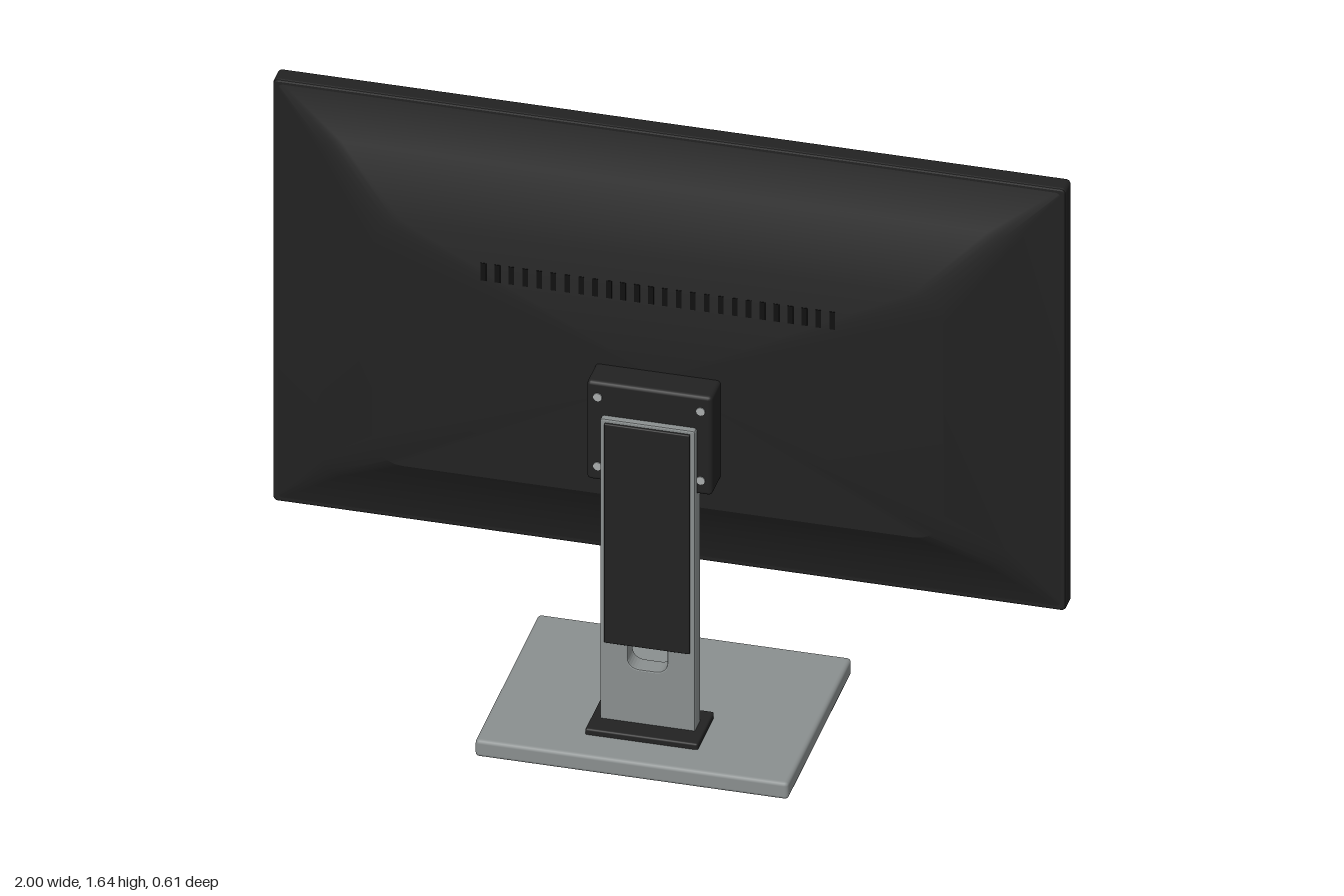
import * as THREE from 'three';
import { toCreasedNormals } from 'three/addons/utils/BufferGeometryUtils.js';
import { RoundedBoxGeometry } from 'three/addons/geometries/RoundedBoxGeometry.js';

const flat = (name, color) => {
  const m = new THREE.MeshStandardMaterial({ color });
  m.name = name;
  return m;
};

// Rounded rectangle as counter-clockwise points
function roundedRect(x0, x1, y0, y1, r, steps = 6) {
  const pts = [];
  const corners = [[x1 - r, y0 + r, -1], [x1 - r, y1 - r, 0], [x0 + r, y1 - r, 1], [x0 + r, y0 + r, 2]];
  for (const [cx, cy, q] of corners) {
    for (let i = 0; i <= steps; i++) {
      const a = (q + i / steps) * Math.PI / 2;
      pts.push(new THREE.Vector2(cx + r * Math.cos(a), cy + r * Math.sin(a)));
    }
  }
  return pts;
}

// Skin through rounded rectangles stacked along +z, closed at the last one
function loft(sections) {
  const pos = [], idx = [];
  const rings = sections.map(s => roundedRect(-s.x, s.x, s.y0, s.y1, s.r));
  const n = rings[0].length;
  rings.forEach((ring, k) => ring.forEach(p => pos.push(p.x, p.y, sections[k].z)));
  for (let k = 0; k < rings.length - 1; k++) {
    for (let i = 0; i < n; i++) {
      const a = k * n + i, b = k * n + (i + 1) % n;
      idx.push(a, b, b + n, a, b + n, a + n);
    }
  }
  const last = sections[sections.length - 1], base = (rings.length - 1) * n;
  pos.push(0, (last.y0 + last.y1) / 2, last.z);
  for (let i = 0; i < n; i++) idx.push(base + i, base + (i + 1) % n, rings.length * n);
  const g = new THREE.BufferGeometry();
  g.setAttribute('position', new THREE.Float32BufferAttribute(pos, 3));
  g.setIndex(idx);
  return toCreasedNormals(g, 0.4);
}

// Bevelled plate with a hole, spanning z0 to z1
function plate(outer, hole, z0, z1, bevel) {
  const shape = new THREE.Shape(outer);
  shape.holes.push(new THREE.Path(hole));
  const g = new THREE.ExtrudeGeometry(shape, {
    depth: z1 - z0 - 2 * bevel, bevelEnabled: true, bevelThickness: bevel,
    bevelSize: bevel, bevelOffset: -bevel, bevelSegments: 2,
  });
  return g.translate(0, 0, z0 + bevel);
}

export function createModel() {
  const black = flat('black plastic', 0x222222);
  const screenBlack = flat('screen black', 0x1e1e1e);
  const dark = flat('dark recess', 0x101010);
  const grey = flat('grey metal', 0x8a8f8f);
  const silver = flat('screw silver', 0xa8acac);

  const model = new THREE.Group();
  model.name = 'monitor';
  const add = (name, geometry, material, parent = model) => {
    const m = new THREE.Mesh(geometry, material);
    m.name = name;
    parent.add(m);
    return m;
  };
  const group = name => {
    const g = new THREE.Group();
    g.name = name;
    model.add(g);
    return g;
  };
  // Box given by its extents, optionally rounded
  const box = (x0, x1, y0, y1, z0, z1, r = 0) => {
    const s = [x1 - x0, y1 - y0, z1 - z0];
    const g = r ? new RoundedBoxGeometry(...s, 2, r) : new THREE.BoxGeometry(...s);
    return g.translate((x0 + x1) / 2, (y0 + y1) / 2, (z0 + z1) / 2);
  };

  // Display: bezel, panel and sloped back shell
  const display = group('display');
  add('bezel', plate(roundedRect(-1, 1, 0.435, 1.645, 0.012), roundedRect(-0.96, 0.96, 0.5, 1.6, 0.003, 1),
    -0.11, -0.057, 0.006), black, display);
  add('screen', box(-0.965, 0.965, 0.495, 1.605, -0.106, -0.07), screenBlack, display);
  add('backShell', loft([
    { x: 0.993, y0: 0.442, y1: 1.638, r: 0.012, z: -0.059 },
    { x: 0.865, y0: 0.56, y1: 1.52, r: 0.05, z: -0.015 },
    { x: 0.72, y0: 0.655, y1: 1.357, r: 0.075, z: 0.05 },
  ]), black, display);

  // Row of vent slots on the back
  const vents = group('vents');
  for (let i = 0; i < 26; i++) {
    const x = -0.44 + i * 0.0352;
    add('ventSlot', box(x - 0.007, x + 0.007, 1.22, 1.27, 0.047, 0.0515), dark, vents);
  }

  // Buttons under the bezel and the power light
  const controls = group('controls');
  for (const x of [-0.86, -0.797, -0.733, -0.668]) {
    add('button', box(x - 0.014, x + 0.014, 0.428, 0.44, -0.095, -0.075, 0.003), black, controls);
  }
  add('powerLight', box(-0.935, -0.925, 0.464, 0.47, -0.113, -0.108), dark, controls);

  // Mounting block with four screws
  const mount = group('mount');
  add('mountBlock', box(-0.158, 0.158, 0.745, 1.027, 0.04, 0.133, 0.01), black, mount);
  for (const x of [-0.13, 0.13]) {
    for (const y of [0.787, 0.985]) {
      const g = new THREE.CylinderGeometry(0.011, 0.011, 0.006, 16).rotateX(Math.PI / 2);
      add('mountScrew', g.translate(x, y, 0.133), silver, mount);
    }
  }

  // Stand: column with a cable slot, cover plate and collar
  const stand = group('stand');
  add('column', plate(roundedRect(-0.12, 0.12, 0.06, 0.935, 0.006, 2), roundedRect(-0.05, 0.05, 0.23, 0.4, 0.028),
    0.098, 0.15, 0.004), grey, stand);
  add('columnCover', box(-0.108, 0.108, 0.297, 0.925, 0.147, 0.157, 0.003), black, stand);
  add('collar', box(-0.142, 0.142, 0.052, 0.076, 0.05, 0.208, 0.005), black, stand);

  // Base plate with four rubber feet
  const base = group('base');
  add('basePlate', box(-0.395, 0.395, 0.012, 0.06, -0.303, 0.303, 0.01), grey, base);
  for (const x of [-0.3, 0.3]) {
    for (const z of [-0.218, 0.222]) {
      add('foot', box(x - 0.045, x + 0.045, 0, 0.016, z - 0.045, z + 0.045, 0.004), dark, base);
    }
  }
  return model;
}
